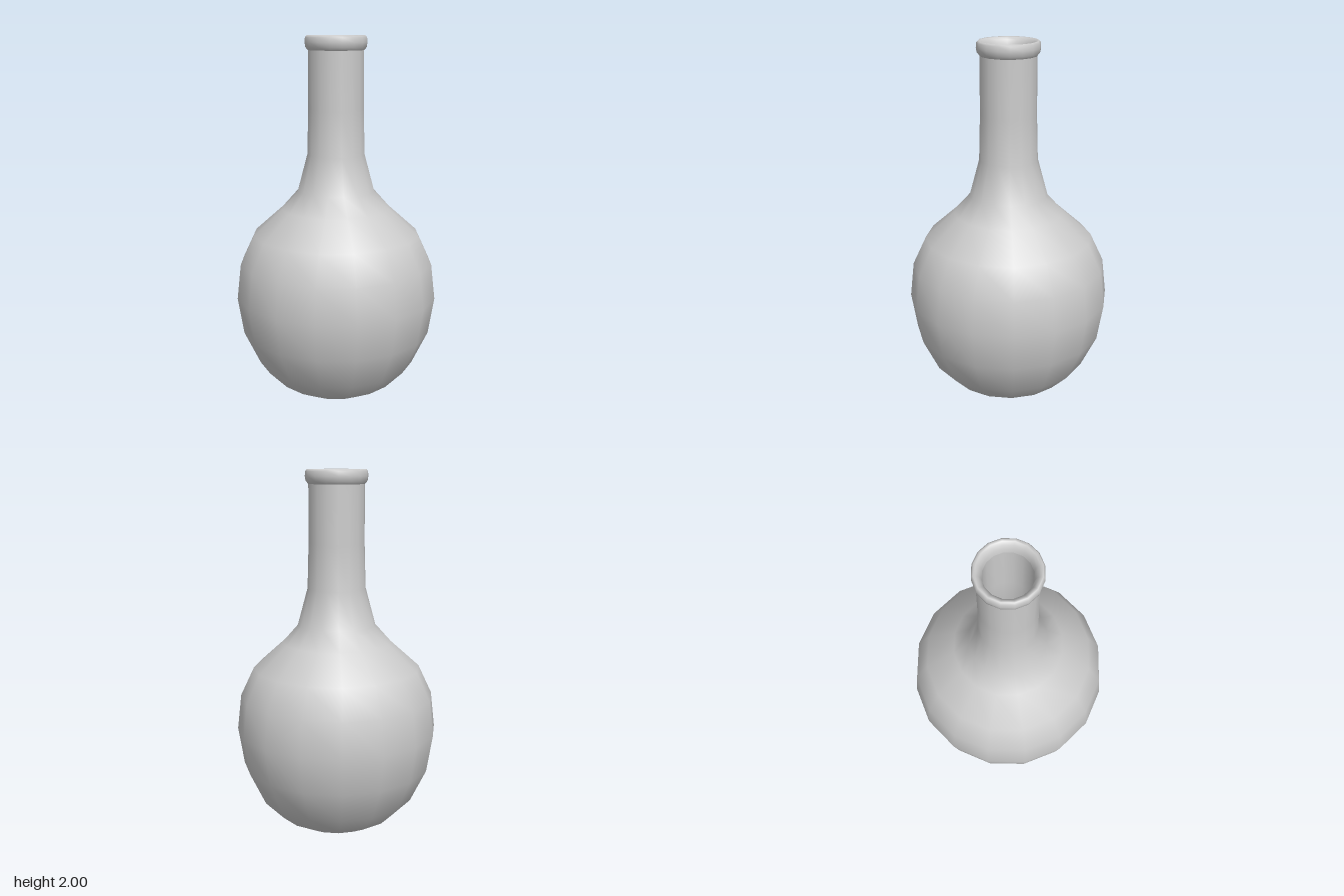
import * as THREE from 'three';

const SIDES = 16;

export function createModel() {
  const model = new THREE.Group();
  const material = new THREE.MeshStandardMaterial({ color: 0xcccccc, side: THREE.DoubleSide });

  // Turns a list of [radius, height] pairs into a smooth 16-sided part
  const turned = (name, profile) => {
    const points = profile.map(([r, y]) => new THREE.Vector2(r, y));
    const mesh = new THREE.Mesh(new THREE.LatheGeometry(points, SIDES), material);
    mesh.name = name;
    model.add(mesh);
  };

  // Round belly, sloping shoulder and slim neck
  const outer = [
    [0, 0], [0.11, 0.018], [0.215, 0.055], [0.325, 0.113], [0.428, 0.218],
    [0.515, 0.4], [0.547, 0.6], [0.525, 0.79], [0.452, 0.945], [0.295, 1.085],
    [0.21, 1.18], [0.156, 1.38], [0.149, 1.62], [0.148, 1.925],
  ];
  turned('bottleBody', outer);

  // Rolled lip around the mouth
  turned('mouthRim', [
    [0.148, 1.925], [0.162, 1.94], [0.166, 1.965], [0.164, 1.99], [0.156, 2],
    [0.145, 1.998], [0.132, 1.985], [0.122, 1.965], [0.118, 1.94],
  ]);

  // Inner wall, a little inside the outer one, from mouth to bottom
  const wall = 0.03;
  const inner = outer.map(([r, y], i) => [
    Math.max(0, r - wall), i === outer.length - 1 ? 1.94 : y + wall * Math.max(0, 1 - y / 0.6),
  ]);
  turned('innerWall', inner.reverse());

  return model;
}
